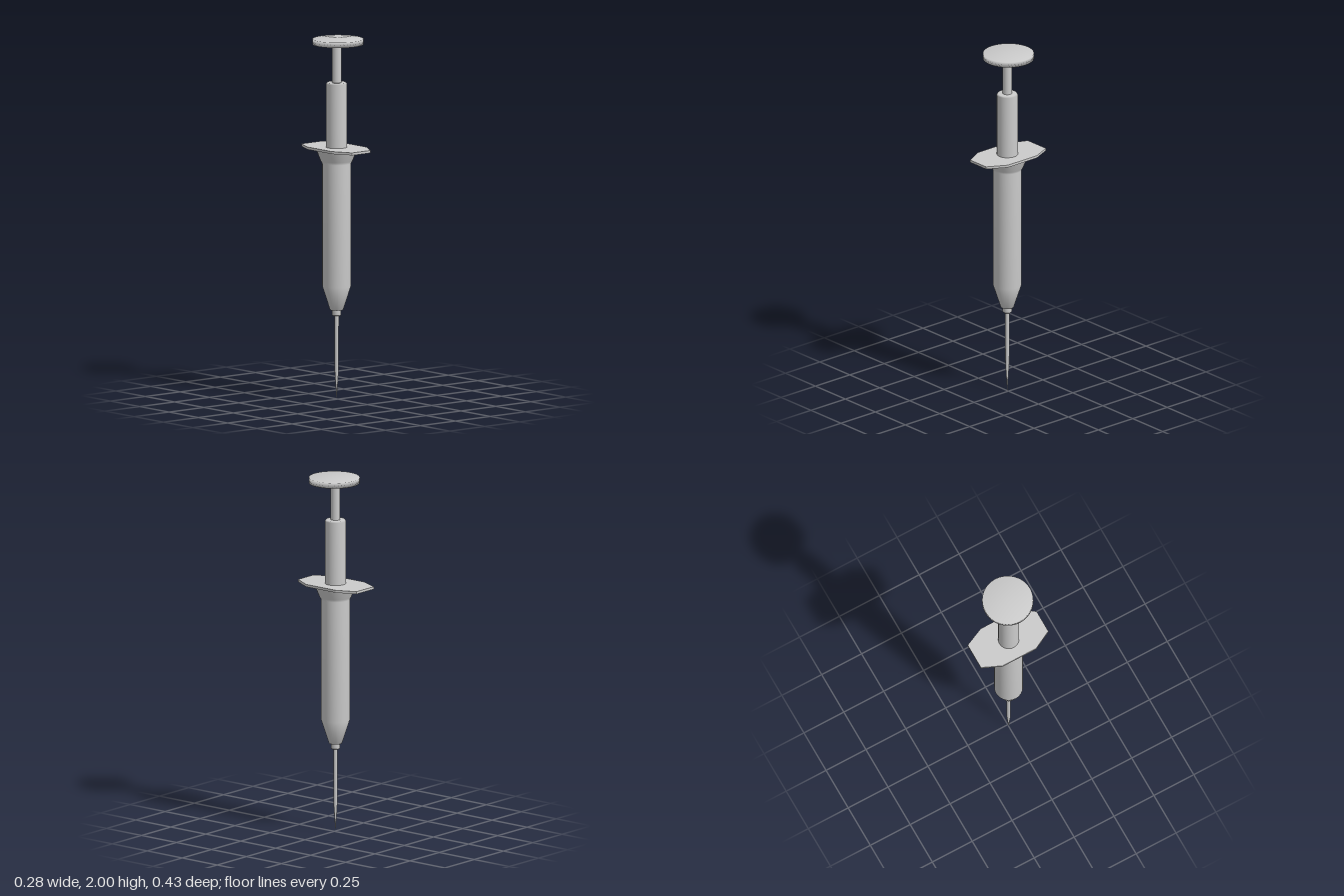
import * as THREE from 'three';

const AXIS_X = -0.01; // barrel axis, slightly off the plunger cap's centre

export function createModel() {
  const group = new THREE.Group();
  const material = new THREE.MeshStandardMaterial({ color: 0xcccccc });

  const add = (name, geometry, x = 0, y = 0) => {
    const mesh = new THREE.Mesh(geometry, material);
    mesh.name = name;
    mesh.position.set(x, y, 0);
    group.add(mesh);
  };
  // Turned part from [radius, height] pairs, bottom to top
  const turned = (name, profile, x = AXIS_X, segments = 32) => add(
    name,
    new THREE.LatheGeometry(profile.map(([r, y]) => new THREE.Vector2(r, y)), segments),
    x,
  );

  // Needle with a long tapered point, and the hub that holds it
  turned('needle', [[0, 0], [0.004, 0.05], [0.011, 0.16], [0.012, 0.47]], AXIS_X, 16);
  turned('needleHub', [[0, 0.465], [0.022, 0.465], [0.025, 0.47], [0.025, 0.5]], AXIS_X, 24);

  // Barrel: tapered nose, straight body, flared shoulder under the flange
  turned('barrel', [
    [0, 0.497], [0.036, 0.497], [0.079, 0.63], [0.079, 1.31],
    [0.088, 1.325], [0.112, 1.385], [0.112, 1.39],
  ]);

  // Finger flange: thin plate with cut corners
  const outline = [
    [-0.132, -0.105], [-0.083, -0.214], [0.067, -0.214], [0.116, -0.105],
    [0.116, 0.105], [0.056, 0.212], [-0.077, 0.212], [-0.132, 0.105],
  ];
  const flange = new THREE.ExtrudeGeometry(
    new THREE.Shape(outline.map(([x, z]) => new THREE.Vector2(x, z))),
    { depth: 0.014, bevelEnabled: false },
  );
  flange.rotateX(Math.PI / 2);
  add('fingerFlange', flange, 0, 1.4);

  // Plunger: thick sleeve, thin rod and round thumb cap
  turned('plungerSleeve', [[0.058, 1.39], [0.058, 1.752], [0.052, 1.76], [0, 1.76]]);
  turned('plungerRod', [[0.026, 1.75], [0.026, 1.98]], AXIS_X, 24);
  turned('thumbCap', [[0, 1.97], [0.14, 1.97], [0.14, 2], [0, 2]], 0, 48);

  return group;
}
